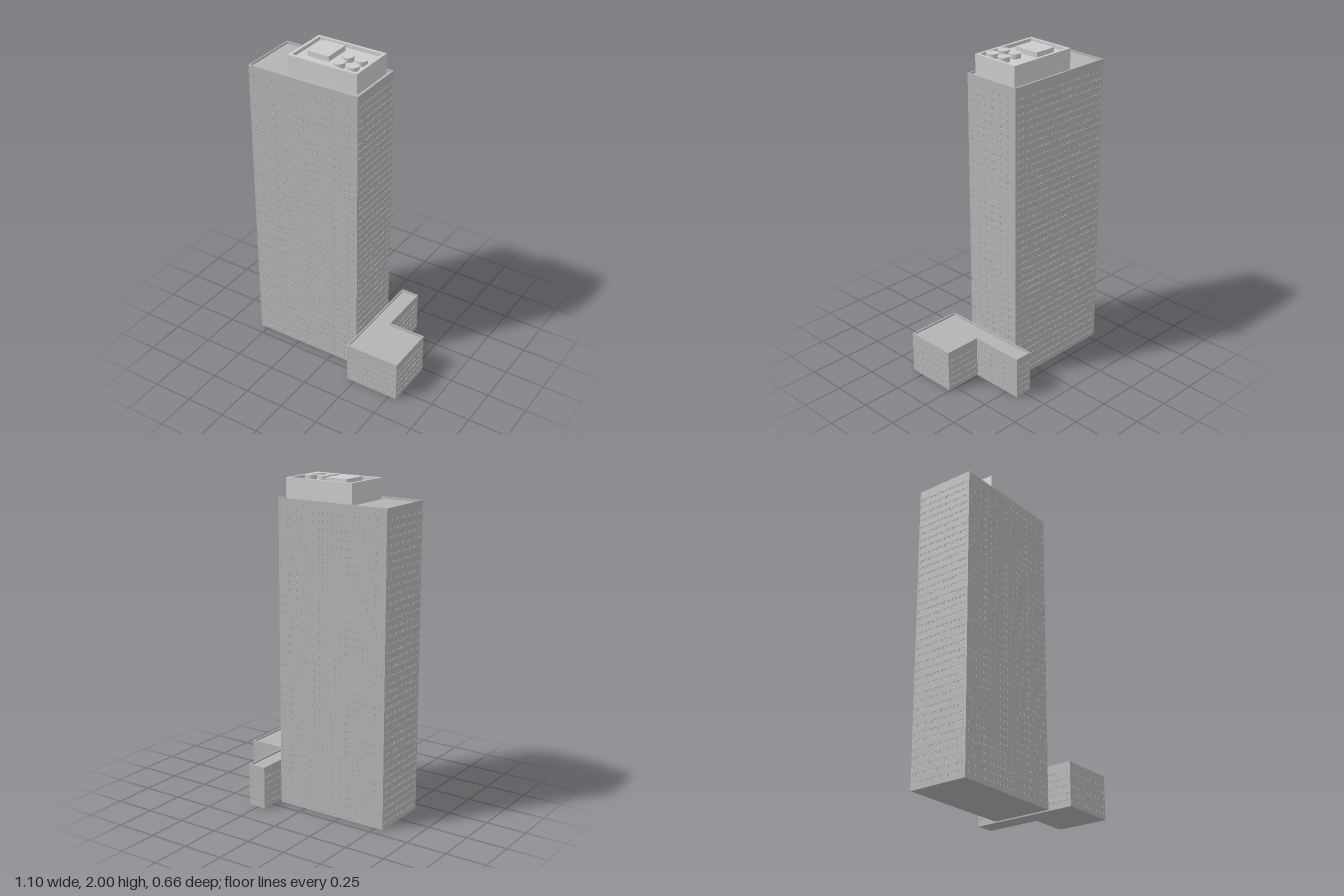
import * as THREE from 'three';

const stone = new THREE.MeshStandardMaterial({ color: 0xb3b3b3 });
const pale = new THREE.MeshStandardMaterial({ color: 0xcccccc });

// Plans are right-angled outlines, counter-clockwise, as [x, -z]
const rect = (x0, x1, z0, z1) => [[x0, -z1], [x1, -z1], [x1, -z0], [x0, -z0]];

// Outline edges with length, direction and outward normal
function edgesOf(plan) {
  return plan.map((a, i) => {
    const b = plan[(i + 1) % plan.length];
    const length = Math.hypot(b[0] - a[0], b[1] - a[1]);
    const dir = [(b[0] - a[0]) / length, (b[1] - a[1]) / length];
    return { a, length, dir, normal: [dir[1], -dir[0]] };
  });
}

// Move every side of a plan inwards by d
function inset(plan, d) {
  const edges = edgesOf(plan);
  return plan.map((p, i) => {
    const n1 = edges[(i + plan.length - 1) % plan.length].normal, n2 = edges[i].normal;
    return [p[0] - d * (n1[0] + n2[0]), p[1] - d * (n1[1] + n2[1])];
  });
}

// Upright prism over a plan, optionally hollow with the given wall thickness
function prism(name, plan, y0, y1, material, wall = 0) {
  const points = (p) => p.map(([x, y]) => new THREE.Vector2(x, y));
  const shape = new THREE.Shape(points(plan));
  if (wall) shape.holes.push(new THREE.Path(points(inset(plan, wall))));
  const geometry = new THREE.ExtrudeGeometry(shape, { depth: y1 - y0, bevelEnabled: false });
  geometry.rotateX(-Math.PI / 2).translate(0, y0, 0);
  const mesh = new THREE.Mesh(geometry, material);
  mesh.name = name;
  return mesh;
}

// Vertical strip on a facade at fraction t of an edge
function strip(name, edge, t, width, depth, recess, height) {
  const mesh = new THREE.Mesh(new THREE.BoxGeometry(width, height, depth), stone);
  const along = edge.length * t, inward = recess + depth / 2;
  mesh.position.set(
    edge.a[0] + edge.dir[0] * along - edge.normal[0] * inward,
    height / 2,
    -(edge.a[1] + edge.dir[1] * along - edge.normal[1] * inward));
  mesh.rotation.y = Math.atan2(edge.normal[0], -edge.normal[1]);
  mesh.name = name;
  return mesh;
}

// Block with floor bands, mullions, piers and a roof parapet
function block(name, plan, height, floors, piers) {
  const group = new THREE.Group();
  group.name = name;
  const relief = 0.003, roof = height - 0.012, step = roof / floors;
  group.add(prism('core', inset(plan, relief), 0, roof, stone));
  group.add(prism('parapet', plan, roof - step * 0.3, height, stone, 0.008));

  // Solid wall bands between the window rows
  for (let i = 0; i < floors; i++) {
    group.add(prism('floorBand', plan, i * step, (i + 0.7) * step, stone, 0.005));
  }

  edgesOf(plan).forEach((edge, i) => {
    // Slim mullions split each window row
    const count = Math.max(2, Math.round(edge.length / 0.03));
    for (let k = 1; k < count; k++) {
      group.add(strip('mullion', edge, k / count, 0.006, 0.004, 0.001, roof));
    }
    // Full-depth piers, including both corners
    const end = 0.006 / edge.length;
    for (const t of [end, ...piers[i], 1 - end]) {
      group.add(strip('pier', edge, t, 0.012, 0.006, 0, roof));
    }
  });
  return group;
}

export function createModel() {
  const model = new THREE.Group();
  model.name = 'highRise';

  // Main tower: piers for front, +x end, back, -x end
  const endPiers = [0.18, 0.34, 0.5, 0.66, 0.82];
  model.add(block('tower', rect(-0.55, 0.18, -0.19, 0.19), 1.877, 40,
    [[0.23, 0.5, 0.77], endPiers, [0.1, 0.38, 0.64, 0.9], endPiers]));

  // Low L-shaped annex beside the tower
  const annexPlan = [[0.2, -0.33], [0.548, -0.33], [0.548, -0.007], [0.314, -0.007], [0.314, 0.333], [0.2, 0.333]];
  model.add(block('annex', annexPlan, 0.264, 6,
    [[0.25], [0.25, 0.75], [0.5], [0.33, 0.67], [0.5], [0.25, 0.5, 0.75]]));

  // Rooftop penthouse with a sunken roof
  const penthouse = new THREE.Group();
  penthouse.name = 'penthouse';
  const housePlan = rect(-0.3, 0.152, -0.155, 0.155);
  penthouse.add(prism('penthouseBody', inset(housePlan, 0.018), 1.86, 1.968, pale));
  penthouse.add(prism('penthouseWall', housePlan, 1.86, 1.99, pale, 0.018));

  // Plant room and four cooling units
  penthouse.add(prism('plantRoom', rect(-0.224, -0.084, -0.098, 0.07), 1.965, 2, pale));
  for (const x of [-0.005, 0.084]) {
    for (const z of [-0.002, 0.086]) {
      const unit = new THREE.Mesh(new THREE.CylinderGeometry(0.035, 0.035, 0.032, 24), pale);
      unit.name = 'coolingUnit';
      unit.position.set(x, 1.981, z);
      penthouse.add(unit);
    }
  }
  model.add(penthouse);
  return model;
}
